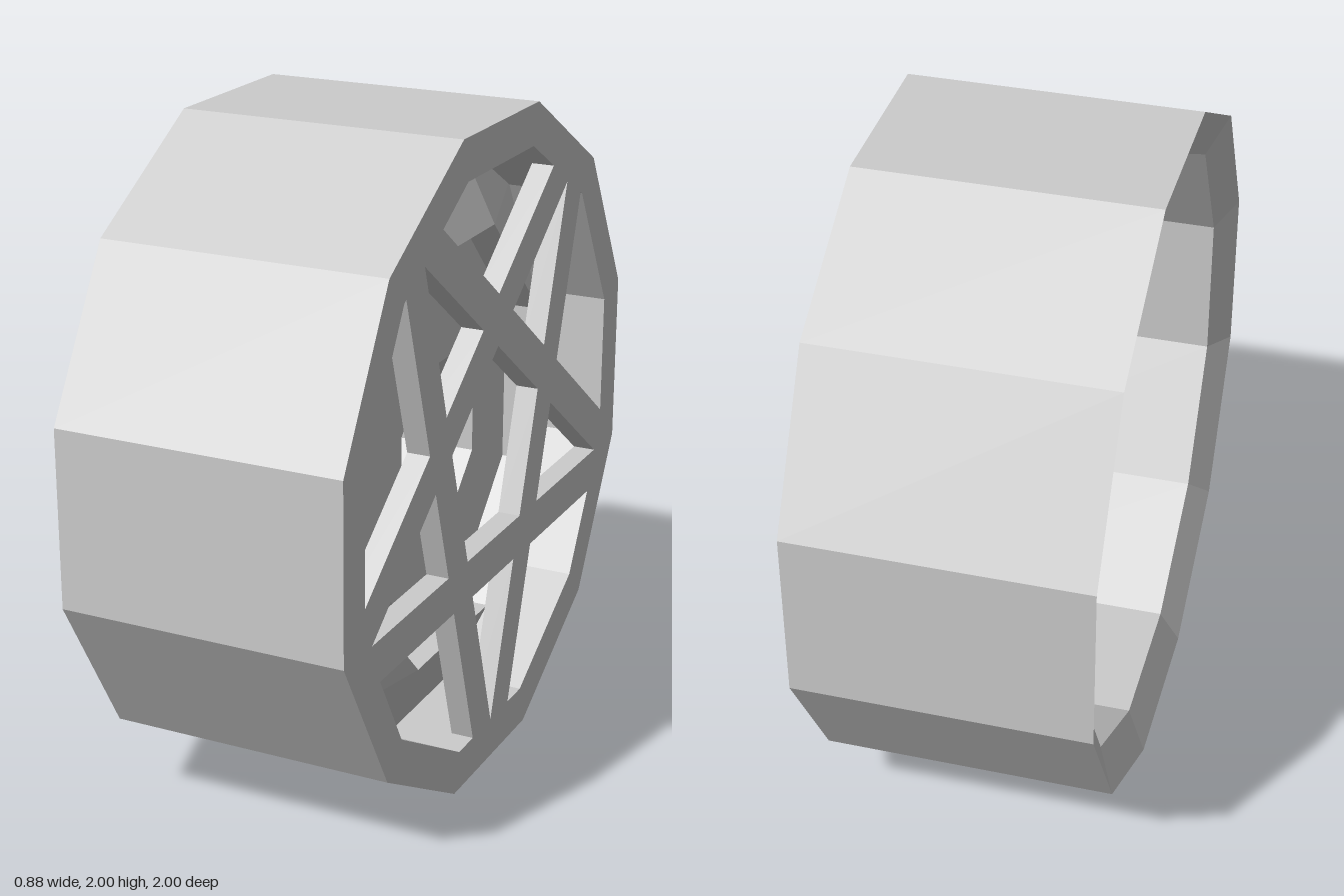
import * as THREE from 'three';

const material = new THREE.MeshStandardMaterial({ color: 0xcccccc, flatShading: true });
const HALF = 0.4375; // half the wheel width
const INNER = 0.875; // flat-to-centre distance inside the rim

// corner k of a regular polygon with a flat on top, given its apothem
function corner(sides, apothem, k) {
  const a = ((k + 0.5) / sides) * Math.PI * 2;
  const r = apothem / Math.cos(Math.PI / sides);
  return new THREE.Vector2(r * Math.cos(a), r * Math.sin(a));
}
const polygon = (sides, apothem) =>
  Array.from({ length: sides }, (_, k) => corner(sides, apothem, k));

function add(group, name, geometry) {
  const mesh = new THREE.Mesh(geometry, material);
  mesh.name = name;
  group.add(mesh);
}

// faceted ring about the x axis from [apothem, x] profile points
function facetedRing(sides, profile) {
  const points = profile.map(([a, x]) => new THREE.Vector2(a / Math.cos(Math.PI / sides), x));
  return new THREE.LatheGeometry(points, sides, Math.PI / sides).rotateZ(-Math.PI / 2);
}

// part of a convex polygon where sign * (p . normal - distance) >= 0
function clip(points, normal, distance, sign) {
  const out = [];
  points.forEach((p, i) => {
    const q = points[(i + 1) % points.length];
    const dp = sign * (p.dot(normal) - distance);
    const dq = sign * (q.dot(normal) - distance);
    if (dp >= 0) out.push(p);
    if (dp * dq < 0) out.push(p.clone().lerp(q, dp / (dp - dq)));
  });
  return out;
}

// face plate: the openings left between five crossing bars
function starPlate(depth) {
  let openings = [polygon(12, INNER)];
  for (let i = 0; i < 5; i++) {
    const a = -Math.PI / 2 + (i * Math.PI * 2) / 5;
    const n = new THREE.Vector2(Math.cos(a), Math.sin(a));
    openings = openings
      .flatMap((o) => [clip(o, n, 0.398, 1), clip(o, n, 0.27, -1)])
      .filter((o) => o.length > 2 && Math.abs(THREE.ShapeUtils.area(o)) > 0.002);
  }
  const shape = new THREE.Shape(polygon(12, INNER + 0.002));
  shape.holes = openings.map((o) => new THREE.Path(o));
  return new THREE.ExtrudeGeometry(shape, { depth, bevelEnabled: false })
    .rotateY(Math.PI / 2)
    .translate(HALF - depth, 0, 0);
}

// sloping disc joining the twelve-sided rim to the eight-sided groove
function slopingDisc(xOuter, xInner) {
  const pos = [];
  const outer = (k) => { const p = corner(12, INNER + 0.01, k); return [xOuter, p.y, -p.x]; };
  const inner = (k) => { const p = corner(8, 0.62, k); return [xInner, p.y, -p.x]; };
  for (let q = 0; q < 4; q++) {
    const o = q * 3, n = q * 2;
    pos.push(...outer(o), ...outer(o + 1), ...inner(n));
    pos.push(...outer(o + 1), ...inner(n + 1), ...inner(n));
    pos.push(...outer(o + 1), ...outer(o + 2), ...inner(n + 1));
    pos.push(...outer(o + 2), ...outer(o + 3), ...inner(n + 1));
    pos.push(...outer(o + 3), ...inner(n + 2), ...inner(n + 1));
  }
  const g = new THREE.BufferGeometry();
  g.setAttribute('position', new THREE.Float32BufferAttribute(pos, 3));
  g.computeVertexNormals();
  return g;
}

export function createModel() {
  const wheel = new THREE.Group();
  wheel.name = 'wheel';

  // outer rim, bevelled at its open end
  add(wheel, 'rim', facetedRing(12, [
    [1, -HALF], [1, HALF], [INNER, HALF], [INNER, -0.38], [1, -HALF],
  ]));

  // star-shaped spokes on the outer face
  add(wheel, 'starSpokes', starPlate(0.07));

  // sloping disc behind the spokes
  add(wheel, 'slopingDisc', slopingDisc(0.19, 0.31));

  // raised hub with an axle hole and a groove around it on both sides
  add(wheel, 'hub', facetedRing(8, [
    [0.62, 0.31], [0.62, 0.2], [0.5, 0.2], [0.5, 0.25], [0.255, 0.25],
    [0.255, 0], [0.5, 0], [0.5, 0.1], [0.6, 0.1],
  ]));

  // flat back disc with a twelve-sided opening around the hub
  add(wheel, 'backDisc', facetedRing(12, [[0.56, 0.1], [0.56, 0], [INNER + 0.01, 0]]));

  wheel.position.y = 1;
  const model = new THREE.Group();
  model.add(wheel);
  return model;
}
